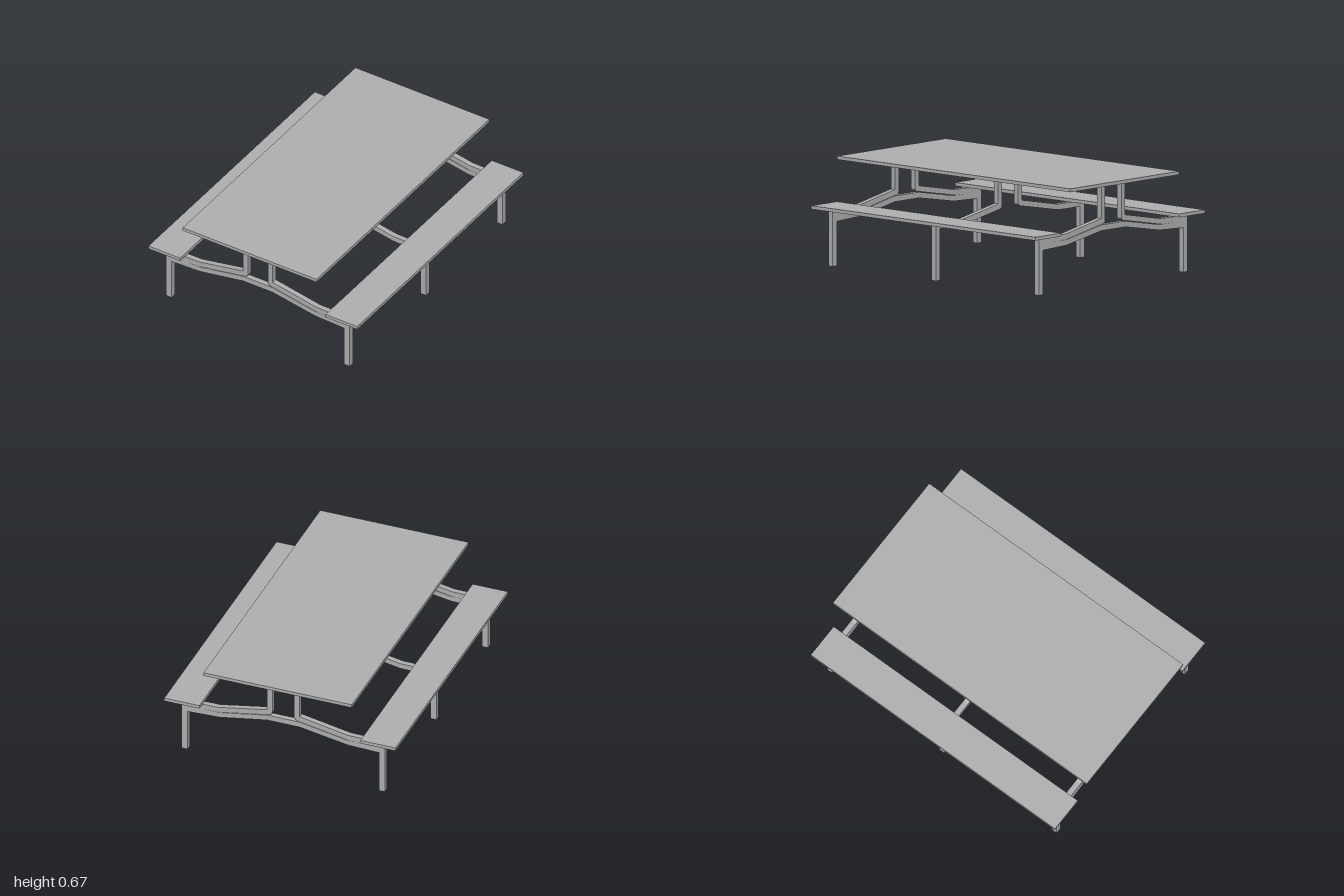
import * as THREE from 'three';

const TUBE = 0.037; // frame tube width along z

export function createModel() {
  const model = new THREE.Group();
  model.name = 'picnicTable';
  const grey = new THREE.MeshStandardMaterial({ color: 0xb0b0b0 });
  grey.name = 'grey';

  const slab = (name, w, h, d, x, y) => {
    const mesh = new THREE.Mesh(new THREE.BoxGeometry(w, h, d), grey);
    mesh.name = name;
    mesh.position.set(x, y, 0);
    model.add(mesh);
  };

  // Extrudes a front outline, centred on its own z
  const profile = (name, points) => {
    const shape = new THREE.Shape(points.map(([x, y]) => new THREE.Vector2(x, y)));
    const geo = new THREE.ExtrudeGeometry(shape, { depth: TUBE, bevelEnabled: false });
    geo.translate(0, 0, -TUBE / 2);
    const mesh = new THREE.Mesh(geo, grey);
    mesh.name = name;
    return mesh;
  };

  // Table top and benches
  slab('tableTop', 1.0, 0.022, 2.0, 0, 0.656);
  slab('benchLeft', 0.237, 0.022, 1.924, 0.6615, 0.376);
  slab('benchRight', 0.237, 0.022, 1.924, -0.6615, 0.376);

  // Bent tube: leg, sloping arm and upright in one piece
  const bentTube = [
    [0.685, 0], [0.685, 0.365], [0.55, 0.362], [0.44, 0.363], [0.11, 0.425], [0.11, 0.645],
    [0.074, 0.645], [0.074, 0.412], [0.079, 0.398], [0.092, 0.391],
    [0.44, 0.327], [0.55, 0.325], [0.645, 0.328], [0.645, 0],
  ];

  // Lower cross beam, one half listed and mirrored
  const top = [[0.645, 0.328], [0.55, 0.325], [0.43, 0.326], [0.11, 0.384]];
  const bottom = [[0.11, 0.347], [0.43, 0.291], [0.645, 0.283]];
  const flip = ([x, y]) => [-x, y];
  const beam = [
    ...top, ...top.map(flip).reverse(),
    ...bottom.map(flip).reverse(), ...bottom.slice().reverse(),
  ];
  // the mirrored bottom runs outer to inner, so order it left to right
  beam.splice(2 * top.length, beam.length, ...bottom.slice().reverse().map(flip), ...bottom);

  // Three frames; only the end ones carry the cross beam
  for (const [name, z] of [['front', 0.885], ['middle', 0], ['back', -0.885]]) {
    const frame = new THREE.Group();
    frame.name = name + 'Frame';
    frame.position.z = z;
    frame.add(profile('leftBentTube', bentTube));
    frame.add(profile('rightBentTube', bentTube.map(flip)));
    if (z !== 0) frame.add(profile('crossBeam', beam));
    model.add(frame);
  }
  return model;
}
